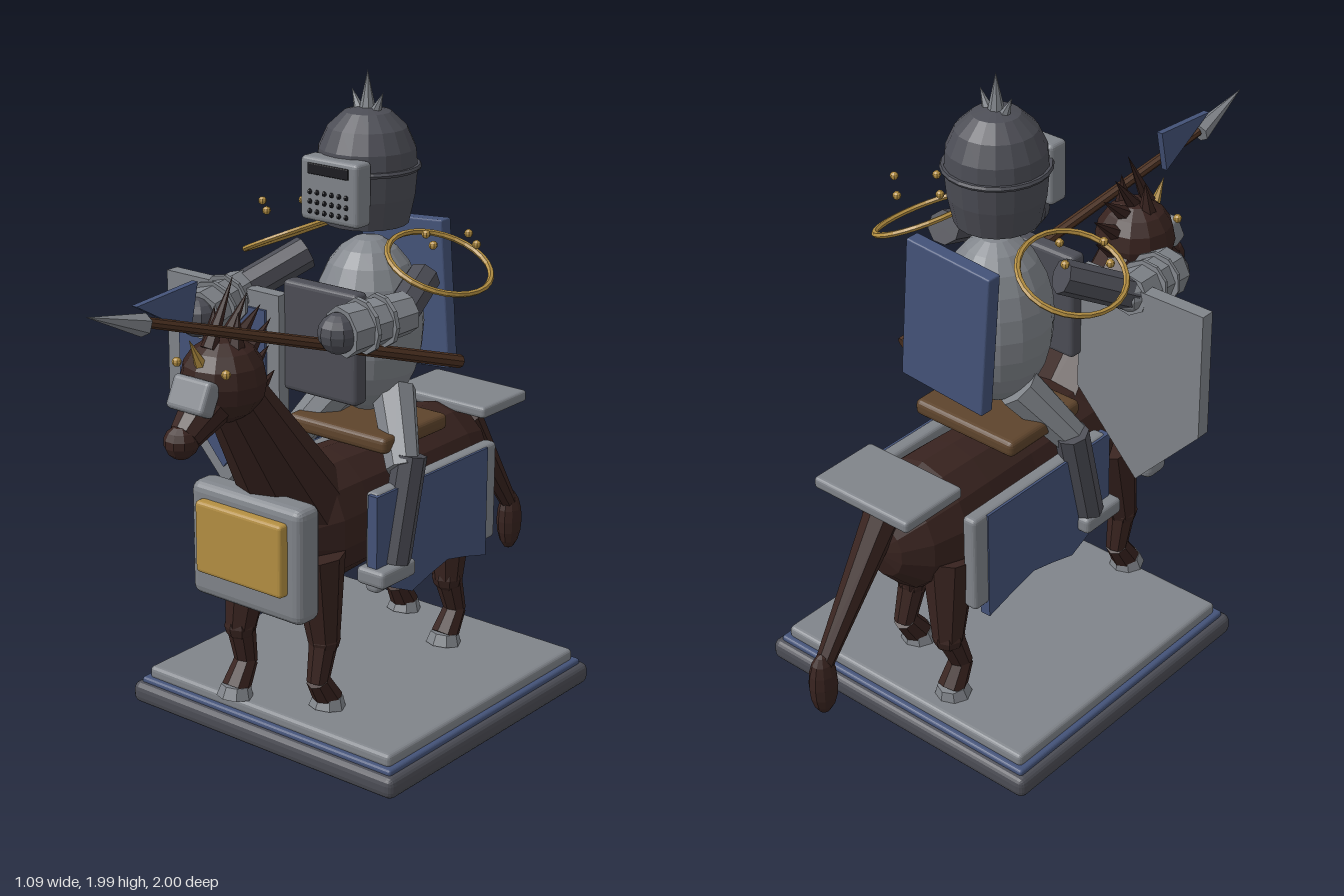
import * as THREE from 'three';
import { RoundedBoxGeometry } from 'three/addons/geometries/RoundedBoxGeometry.js';

const paint = (name, color) => {
  const m = new THREE.MeshStandardMaterial({ color });
  m.name = name;
  return m;
};
const V = (x, y, z) => new THREE.Vector3(x, y, z);

export function createModel() {
  const steel = paint('steel', 0x80848a);
  const darkSteel = paint('dark steel', 0x4c4d55);
  const blue = paint('blue cloth', 0x445379);
  const gold = paint('gold', 0xb48f42);
  const hide = paint('horse hide', 0x38231f);
  const wood = paint('wood', 0x4d3222);
  const leather = paint('saddle leather', 0x5e442c);
  const black = paint('black', 0x1c1c21);

  const root = new THREE.Group();
  root.name = 'mountedKnight';
  const model = new THREE.Group();
  model.name = 'figure';
  model.position.x = 0.025;
  root.add(model);

  // Faceted mesh helper
  const add = (name, geo, mat, pos = [0, 0, 0], rot = [0, 0, 0]) => {
    const g = geo.index ? geo.toNonIndexed() : geo;
    g.computeVertexNormals();
    const m = new THREE.Mesh(g, mat);
    m.name = name;
    m.position.set(...pos);
    m.rotation.set(...rot);
    model.add(m);
    return m;
  };
  // Rounded box given by its centre and size
  const slab = (name, mat, pos, size, r = 0.015, rot) =>
    add(name, new RoundedBoxGeometry(...size, 2, r), mat, pos, rot);
  const ball = (name, mat, pos, size, w = 12, h = 8) =>
    add(name, new THREE.SphereGeometry(1, w, h).scale(...size), mat, pos);
  // Tapered rod between two points
  const rod = (name, mat, a, b, ra, rb, sides = 8) => {
    const p = V(...a), q = V(...b), d = q.clone().sub(p);
    const m = add(name, new THREE.CylinderGeometry(rb, ra, d.length(), sides), mat,
      p.clone().add(q).multiplyScalar(0.5).toArray());
    m.quaternion.setFromUnitVectors(V(0, 1, 0), d.normalize());
    return m;
  };
  const spike = (name, mat, a, b, r, sides = 6) => rod(name, mat, a, b, r, 0, sides);
  const plate = (name, mat, pts, depth, pos, rot) => {
    const shape = new THREE.Shape(pts.map(p => new THREE.Vector2(...p)));
    return add(name, new THREE.ExtrudeGeometry(shape, { depth, bevelEnabled: false }), mat, pos, rot);
  };

  // Stepped base
  slab('baseLower', darkSteel, [0, 0.035, -0.165], [1.03, 0.07, 1.03], 0.025);
  slab('baseMiddle', blue, [0, 0.065, -0.165], [0.985, 0.04, 0.985], 0.01);
  slab('baseTop', steel, [0, 0.098, -0.165], [0.95, 0.044, 0.95], 0.015);

  // Horse body, lathed along z
  const profile = [[0, -0.716], [0.09, -0.69], [0.165, -0.62], [0.203, -0.51], [0.2, -0.38],
    [0.19, -0.18], [0.2, 0.02], [0.2, 0.14], [0.14, 0.24], [0, 0.29]];
  add('horseBody', new THREE.LatheGeometry(profile.map(p => new THREE.Vector2(...p)), 14)
    .rotateX(Math.PI / 2).scale(0.88, 1.02, 1), hide, [0, 0.675, 0]);
  rod('horseNeck', hide, [0, 0.7, 0.12], [0, 1.17, 0.44], 0.16, 0.088, 10);
  ball('horseHead', hide, [0, 1.21, 0.47], [0.125, 0.125, 0.125]);
  rod('horseMuzzle', hide, [0, 1.18, 0.5], [0, 1.08, 0.635], 0.085, 0.048, 10);
  ball('horseNose', hide, [0, 1.07, 0.648], [0.05, 0.05, 0.052], 10, 7);
  slab('facePlate', steel, [0, 1.19, 0.595], [0.14, 0.1, 0.06], 0.015, [-0.45, 0, 0]);
  spike('faceSpike', gold, [0, 1.25, 0.55], [0, 1.357, 0.61], 0.024);
  for (const s of [-1, 1]) {
    ball('horseEye', gold, [s * 0.092, 1.262, 0.562], [0.014, 0.014, 0.014], 8, 6);
    spike('horseEar', hide, [s * 0.045, 1.3, 0.47], [s * 0.045, 1.41, 0.455], 0.03);
  }
  // Mane spikes: base z, base y, tip z, tip y
  [[0.53, 1.31, 0.425, 1.5], [0.46, 1.32, 0.365, 1.44], [0.41, 1.31, 0.31, 1.39],
    [0.37, 1.26, 0.265, 1.34], [0.36, 1.2, 0.275, 1.26], [0.33, 1.13, 0.25, 1.18]]
    .forEach(([z, y, tz, ty]) => spike('maneSpike', hide, [0, y, z], [0, ty, tz], 0.025));

  // Horse legs: side, then z at hip, knee, fetlock and hoof
  [[-1, 0.22, 0.265, 0.24, 0.29], [1, 0.2, 0.185, 0.215, 0.165],
    [1, -0.45, -0.43, -0.475, -0.42], [-1, -0.53, -0.56, -0.505, -0.55]]
    .forEach(([s, hip, knee, fetlock, hoof]) => {
      const x = s * 0.13;
      rod('horseUpperLeg', hide, [s * 0.115, 0.62, hip], [x, 0.34, knee], 0.085, 0.048);
      ball('horseKnee', hide, [x, 0.345, knee], [0.05, 0.05, 0.05], 8, 6);
      rod('horseLowerLeg', hide, [x, 0.35, knee], [x, 0.215, fetlock], 0.045, 0.034);
      rod('horsePastern', hide, [x, 0.225, fetlock], [x, 0.145, hoof], 0.036, 0.045);
      rod('horseHoof', steel, [x, 0.12, hoof + 0.005], [x, 0.156, hoof], 0.057, 0.045);
    });
  // Tail
  rod('tail', hide, [0, 0.79, -0.68], [0, 0.41, -0.945], 0.056, 0.028);
  ball('tailTip', hide, [0, 0.345, -0.952], [0.04, 0.105, 0.047], 10, 8);

  // Horse armour and tack
  slab('chestPlate', steel, [0, 0.652, 0.343], [0.426, 0.36, 0.1], 0.03);
  slab('chestPanel', gold, [0, 0.675, 0.402], [0.33, 0.225, 0.045], 0.012);
  slab('rumpPlate', steel, [0, 0.87, -0.655], [0.36, 0.038, 0.235], 0.012);
  slab('saddle', leather, [0, 0.905, -0.18], [0.38, 0.052, 0.315], 0.018);
  const cloth = [[-0.065, 0.785], [-0.065, 0.53], [0.01, 0.475], [0.11, 0.43], [0.2, 0.455],
    [0.29, 0.475], [0.38, 0.455], [0.49, 0.425], [0.49, 0.785]];
  for (const s of [-1, 1]) {
    slab('flankPlate', steel, [s * 0.203, 0.63, -0.245], [0.05, 0.32, 0.6], 0.015);
    plate('flankCloth', blue, cloth, 0.035, [s > 0 ? 0.197 : -0.232, 0, 0], [0, Math.PI / 2, 0]);
  }

  // Rider torso, breastplate and back panel
  ball('torso', steel, [0, 1.22, -0.18], [0.17, 0.272, 0.17], 16, 12);
  slab('breastplate', darkSteel, [0, 1.21, 0.025], [0.28, 0.34, 0.058], 0.015);
  slab('backPanel', blue, [0, 1.28, -0.38], [0.31, 0.46, 0.048], 0.006, [0, 0, 0.08]);

  // Helmet
  const dome = [[0, 1.535], [0.125, 1.535], [0.143, 1.62], [0.15, 1.7], [0.145, 1.76],
    [0.118, 1.82], [0.07, 1.865], [0, 1.882]];
  add('helmet', new THREE.LatheGeometry(dome.map(p => new THREE.Vector2(...p)), 18), darkSteel, [0, 0, -0.17]);
  add('helmetBand', new THREE.TorusGeometry(0.152, 0.009, 6, 24), darkSteel, [0, 1.705, -0.17], [Math.PI / 2, 0, 0]);
  slab('visor', steel, [0, 1.655, -0.025], [0.215, 0.19, 0.07], 0.015);
  slab('visorSlit', black, [0, 1.717, 0.01], [0.15, 0.032, 0.01], 0.003);
  for (let r = 0; r < 3; r++)
    for (let c = 0; c < 6; c++)
      ball('visorHole', black, [(c - 2.5) * 0.027, 1.648 - r * 0.029, 0.011], [0.008, 0.008, 0.008], 6, 5);
  spike('crestSpike', steel, [0, 1.865, -0.17], [0, 1.985, -0.17], 0.026, 8);
  for (const s of [-1, 1])
    spike('sideSpike', steel, [s * 0.03, 1.865, -0.17], [s * 0.058, 1.925, -0.17], 0.017);

  // Shoulder hoops and floating studs
  for (const s of [-1, 1]) {
    const hoop = new THREE.TorusGeometry(0.15, 0.009, 6, 28).rotateX(Math.PI / 2).scale(1, 1, 1.16);
    add('shoulderHoop', hoop, gold, [s * 0.272, 1.456, -0.167], [0, 0, -s * 0.43]);
    for (let i = 0; i < 4; i++) {
      const a = i * Math.PI / 2;
      ball('shoulderStud', gold, [s * 0.313 + 0.09 * Math.cos(a), 1.533, -0.165 + 0.085 * Math.sin(a)],
        [0.013, 0.013, 0.013], 8, 6);
    }
  }

  // Arms: shoulder, elbow, wrist
  [[[-0.21, 1.41, -0.14], [-0.315, 1.31, 0.05], [-0.29, 1.285, 0.25]],
    [[0.235, 1.41, -0.14], [0.275, 1.345, 0.02], [0.225, 1.33, 0.225]]]
    .forEach(([shoulder, elbow, wrist]) => {
      const along = t => elbow.map((v, i) => v + (wrist[i] - v) * t);
      rod('upperArm', darkSteel, shoulder, elbow, 0.052, 0.052);
      ball('elbow', steel, elbow, [0.055, 0.055, 0.055], 8, 6);
      rod('gauntlet', steel, along(-0.1), along(1), 0.062, 0.076, 8);
      rod('gauntletBand', steel, along(0.3), along(0.36), 0.079, 0.079, 10);
      rod('gauntletBand', steel, along(0.62), along(0.68), 0.083, 0.083, 10);
      ball('hand', darkSteel, along(1.05), [0.06, 0.06, 0.06], 10, 8);
    });

  // Rider legs
  for (const s of [-1, 1]) {
    rod('thigh', steel, [s * 0.09, 1.02, -0.19], [s * 0.215, 0.83, -0.08], 0.07, 0.052);
    rod('shin', darkSteel, [s * 0.222, 0.87, -0.105], [s * 0.222, 0.55, -0.03], 0.052, 0.052);
    slab('foot', steel, [s * 0.218, 0.53, 0], [0.105, 0.055, 0.165], 0.015);
  }

  // Shield
  const shield = (x0, x1, top, low, tip) => [[x0, top], [x0, low], [(x0 + x1) / 2, tip], [x1, low], [x1, top]];
  plate('shield', steel, shield(-0.578, -0.13, 1.335, 0.93, 0.69), 0.045, [0, 0, 0.035]);
  plate('shieldFace', blue, shield(-0.525, -0.178, 1.283, 0.947, 0.75), 0.009, [0, 0, 0.08]);

  // Lance with pennant
  rod('lanceShaft', wood, [0.23, 1.105, -0.335], [0, 1.447, 0.78], 0.021, 0.015);
  spike('lanceTip', steel, [0, 1.44, 0.785], [0, 1.512, 1.0], 0.033);
  plate('pennant', blue, [[-0.82, 1.5], [-0.61, 1.38], [-0.58, 1.517]], 0.02, [-0.01, 0, 0], [0, Math.PI / 2, 0]);

  return root;
}
